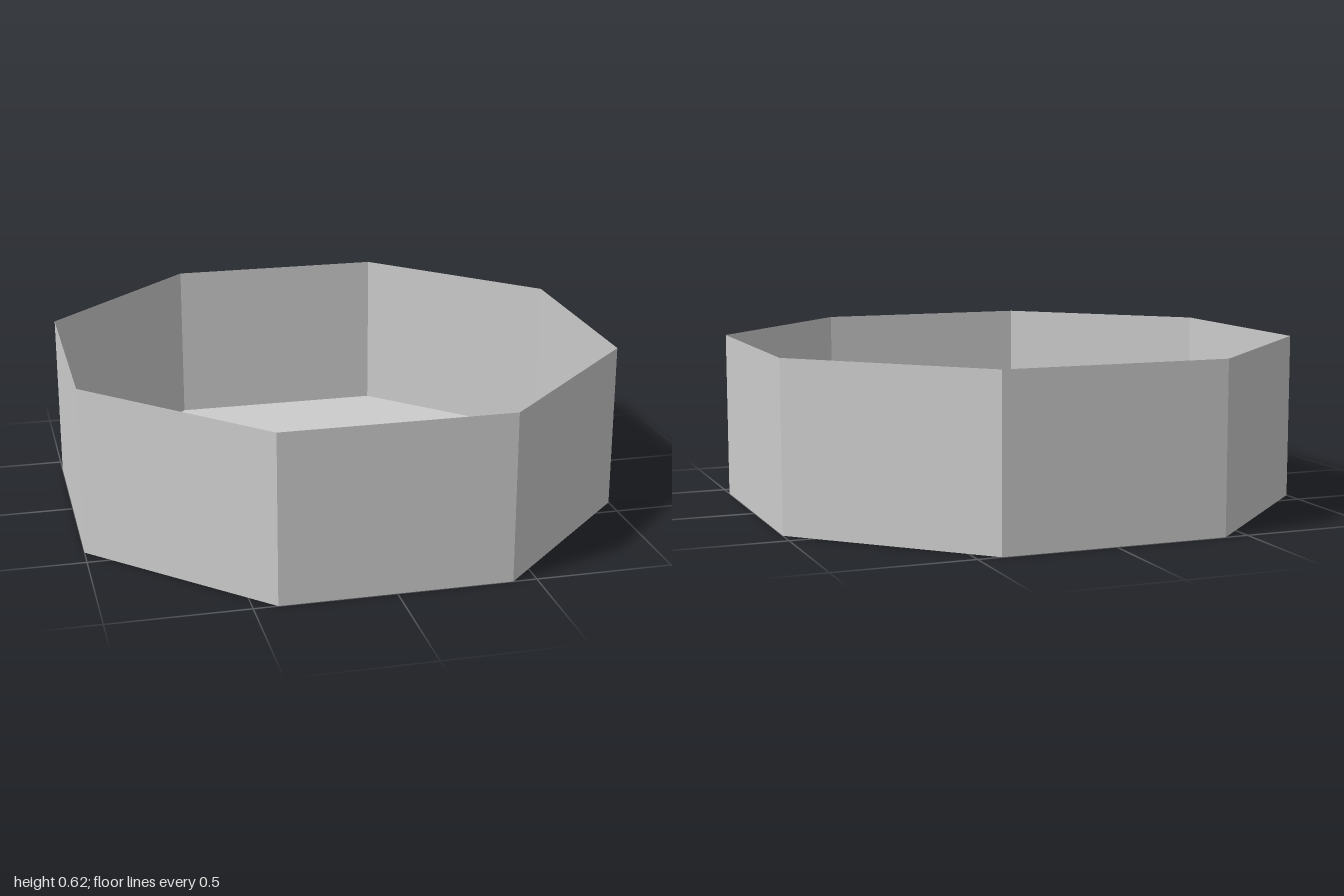
import * as THREE from 'three';

const HEIGHT = 0.62;
const RADIUS = 1 / Math.cos(Math.PI / 8); // corner radius for flats at 1
const HX = 0.083, HZ = 0.08;              // half size of the middle block
const LOW = 0.08, HIGH = 0.172;           // block heights at -x and +x

export function createModel() {
  const group = new THREE.Group();
  group.name = 'octagonalBasin';
  const grey = new THREE.MeshStandardMaterial({ color: 0xcccccc, side: THREE.DoubleSide, flatShading: true });
  grey.name = 'plain grey';

  const add = (name, geometry) => {
    const mesh = new THREE.Mesh(geometry, grey);
    mesh.name = name;
    group.add(mesh);
    return mesh;
  };

  // Thin eight-sided wall, open at the top
  const wall = new THREE.CylinderGeometry(RADIUS, RADIUS, HEIGHT, 8, 1, true, Math.PI / 8);
  add('wall', wall.translate(0, HEIGHT / 2, 0));

  // Flat floor with a square opening beneath the block
  const outline = new THREE.Shape();
  for (let i = 0; i < 8; i++) {
    const a = (i + 0.5) * Math.PI / 4;
    outline[i ? 'lineTo' : 'moveTo'](RADIUS * Math.cos(a), RADIUS * Math.sin(a));
  }
  outline.closePath();
  outline.holes.push(new THREE.Path([
    new THREE.Vector2(-HX, -HZ), new THREE.Vector2(-HX, HZ),
    new THREE.Vector2(HX, HZ), new THREE.Vector2(HX, -HZ),
  ]));
  add('floor', new THREE.ShapeGeometry(outline).rotateX(-Math.PI / 2));

  // Hollow block with a sloping top and an open bottom
  const block = new THREE.BoxGeometry(2 * HX, 1, 2 * HZ).translate(0, 0.5, 0);
  const p = block.attributes.position;
  for (let i = 0; i < p.count; i++) {
    if (p.getY(i) > 0.5) p.setY(i, p.getX(i) > 0 ? HIGH : LOW);
  }
  const index = Array.from(block.index.array);
  index.splice(18, 6); // leave out the bottom face
  block.setIndex(index);
  block.clearGroups();
  block.computeVertexNormals();
  add('slopedBlock', block);

  return group;
}
